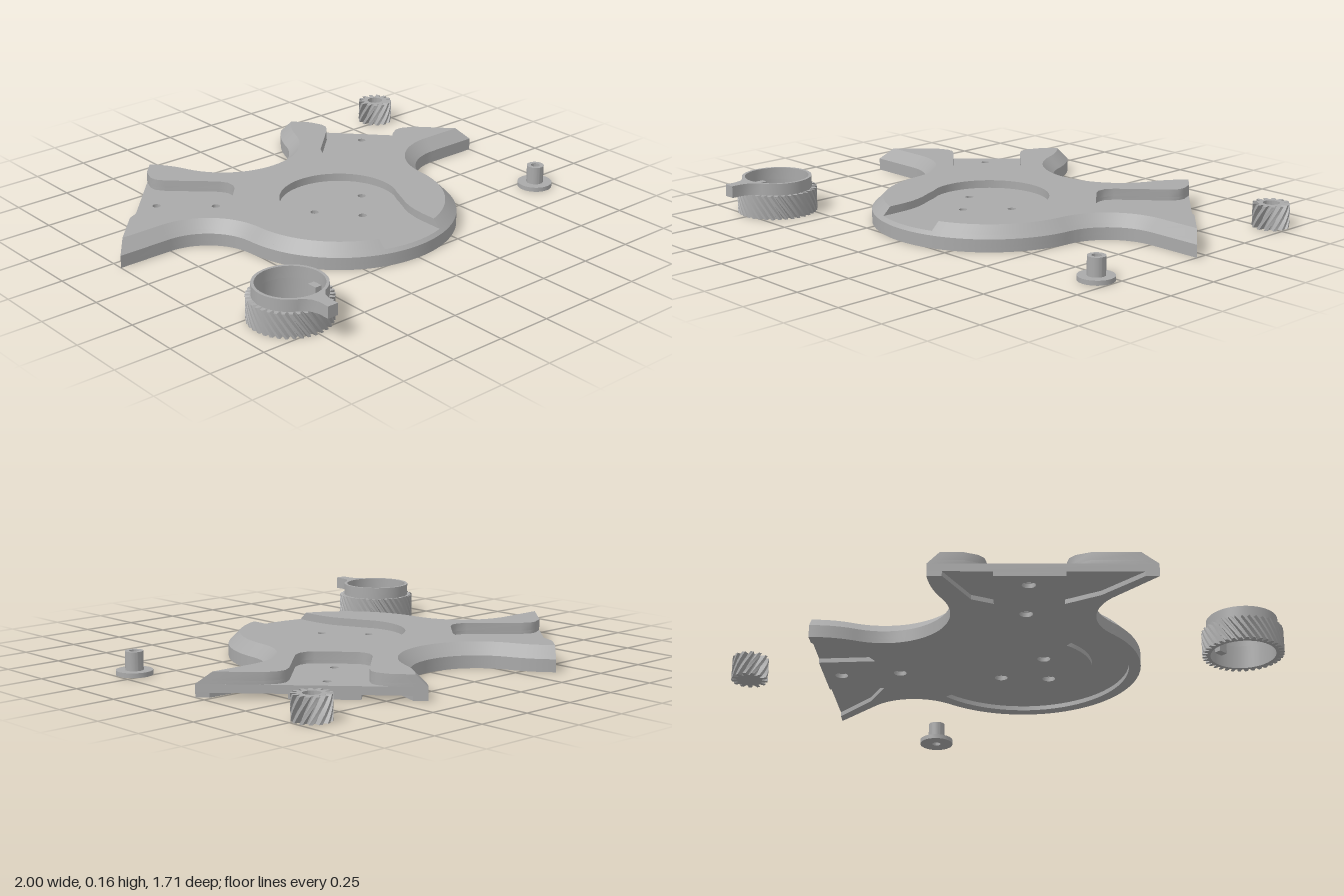
import * as THREE from 'three';
import { toCreasedNormals } from 'three/addons/utils/BufferGeometryUtils.js';

const grey = new THREE.MeshStandardMaterial({ color: 0xaaaaaa });
grey.name = 'grey';

// Points are [x, z]; outlines run counterclockwise and holes clockwise, seen from above.
function arc(cx, cz, r, a0, a1, n = 24) {
  return Array.from({ length: n + 1 }, (_, i) => {
    const a = a0 + (a1 - a0) * i / n;
    return [cx + r * Math.cos(a), cz + r * Math.sin(a)];
  });
}
const circle = (x, z, r, n = 24) => arc(x, z, r, 0, 2 * Math.PI, n).slice(0, n);

// Solid through a stack of equal-count outlines [[y, points], ...] with straight holes.
function stack(levels, holes = []) {
  const pos = [];
  const put = (p, y) => pos.push(p[0], y, p[1]);
  const wall = (a, ya, b, yb) => a.forEach((p, i) => {
    const j = (i + 1) % a.length;
    put(p, ya); put(a[j], ya); put(b[j], yb);
    put(p, ya); put(b[j], yb); put(b[i], yb);
  });
  const cap = (pts, y, up) => {
    const v = list => list.map(p => new THREE.Vector2(p[0], -p[1]));
    const all = [pts, ...holes].flat();
    for (const [a, b, c] of THREE.ShapeUtils.triangulateShape(v(pts), holes.map(v))) {
      const [A, B, C] = [all[a], all[b], all[c]];
      const ccw = (B[0] - A[0]) * (A[1] - C[1]) - (A[1] - B[1]) * (C[0] - A[0]) > 0;
      for (const p of ccw === up ? [A, B, C] : [A, C, B]) put(p, y);
    }
  };
  for (let i = 0; i + 1 < levels.length; i++) wall(levels[i][1], levels[i][0], levels[i + 1][1], levels[i + 1][0]);
  const first = levels[0], last = levels[levels.length - 1];
  holes.forEach(h => wall(h, first[0], h, last[0]));
  cap(first[1], first[0], false);
  cap(last[1], last[0], true);
  const g = new THREE.BufferGeometry();
  g.setAttribute('position', new THREE.Float32BufferAttribute(pos, 3));
  return toCreasedNormals(g, 0.6);
}

function add(parent, name, geometry) {
  const mesh = new THREE.Mesh(geometry, grey);
  mesh.name = name;
  parent.add(mesh);
  return mesh;
}

// ---- Base plate ----
const EDGE = 0.864; // distance of the slanted arm ends along the arm direction
const armPoint = ([u, v]) => [0.731 * u - 0.682 * v, -0.682 * u - 0.731 * v];

// Arm pocket: rounded slot flaring out at the arm end
const pocketSide = [[EDGE, 0.25], [0.84, 0.19], [0.815, 0.167], [0.77, 0.158],
  [0.53, 0.158], [0.487, 0.145], [0.462, 0.118], [0.453, 0.085]];
const armPocket = [
  ...pocketSide.map(([u, w]) => [u, -0.022 - w]),
  ...pocketSide.map(([u, w]) => [u, -0.022 + w]).reverse(),
].map(armPoint);

// Shallow recesses beneath the thick corners of each arm
const armRecess = [[EDGE, -0.484], [0.7, -0.32], [0.62, -0.176], [EDGE, -0.176],
  [EDGE, 0.11], [0.62, 0.11], [0.66, 0.2], [EDGE, 0.31]].map(armPoint);

// Round pocket with a throat leading to the front rim
const discPocket = [
  ...arc(0, 0.015, 0.26, -Math.PI / 2, 0.33, 28),
  [0.225, 0.14], [0.205, 0.19], [0.184, 0.235], [0.168, 0.28], [0.158, 0.33], [0.155, 0.38],
];

function plateOutline(inset, armCut, withDisc) {
  const R = 0.51 - inset, tangent = Math.atan2(0.035, 0.755);
  const cornerZ = -0.195 - inset;
  const horn = [0.727, -0.521], hornR = 0.485 - inset;
  const tip = armPoint([EDGE, -0.115 + Math.sqrt(hornR ** 2 - 0.0005)]);
  const notch = Math.atan2(0.269, 0.727);
  const half = [
    ...(withDisc ? discPocket : []),
    ...arc(0, 0.015, R, withDisc ? Math.acos(0.155 / R) : Math.PI / 2, tangent, 32),
    ...arc(0.755, 0.05, 0.245 + inset, Math.PI + tangent, 1.5 * Math.PI).slice(1),
    [(EDGE + 0.682 * cornerZ) / 0.731, cornerZ],
    ...armCut,
    ...arc(...horn, hornR, Math.atan2(tip[1] - horn[1], tip[0] - horn[0]), notch - Math.PI, 12),
    ...arc(0, -0.79, 0.29 + inset, notch, Math.PI / 2).slice(1),
  ];
  return [...half, ...half.slice(1, -1).reverse().map(([x, z]) => [-x, z])];
}

function makePlate() {
  const plate = new THREE.Group();
  plate.name = 'basePlate';
  const discSpots = [[-0.135, 0.01], [0.135, 0.01], [0, 0.17]];
  const armSpots = [[0.4, -0.345], [0.595, -0.515], [-0.4, -0.345], [-0.595, -0.515]];
  const bores = (spots, r) => spots.map(([x, z]) => circle(x, z, r, 16));
  const all = [...discSpots, ...armSpots];
  const crescent = [...arc(0, 0.015, 0.46, -0.1, Math.PI + 0.1, 40), ...arc(0, 0.015, 0.3, Math.PI + 0.1, -0.1, 40)];

  const foot = plateOutline(0, armRecess, false);
  add(plate, 'plateUnderside', stack([[0, foot], [0.02, foot]], [crescent, ...bores(all, 0.028)]));
  const body = plateOutline(0, [], false);
  add(plate, 'plateBody', stack([[0.02, body], [0.055, body]], bores(all, 0.018)));
  add(plate, 'lowerChamfer', stack([
    [0.055, plateOutline(0, armPocket, false)],
    [0.07, plateOutline(0.015, armPocket, false)],
  ], bores(discSpots, 0.018)));
  add(plate, 'upperChamfer', stack([
    [0.07, plateOutline(0.015, armPocket, true)],
    [0.105, plateOutline(0.05, armPocket, true)],
  ]));
  return plate;
}

// ---- Gears ----
function helicalGear(teeth, root, tip, twist, bore) {
  const ring = turn => {
    const pts = [], step = 2 * Math.PI / teeth;
    for (let i = 0; i < teeth; i++) {
      for (const [f, r] of [[0, root], [0.22, root], [0.42, tip], [0.8, tip]]) {
        const a = -(i + f) * step + turn;
        pts.push([r * Math.cos(a), r * Math.sin(a)]);
      }
    }
    return pts;
  };
  const levels = Array.from({ length: 7 }, (_, i) => [0.105 * i / 6, ring(twist * i / 6)]);
  return stack(levels, [circle(0, 0, bore, 48)]);
}

function makeRingGear() {
  const gear = new THREE.Group();
  gear.name = 'ringGear';
  gear.position.set(-0.75, 0, 0.6);
  add(gear, 'ringTeeth', helicalGear(36, 0.154, 0.175, 0.42, 0.14));

  // Collar with a pointer handle toward the front
  const a = Math.atan2(0.14, 0.06);
  const collar = [
    [-0.024, 0.255], [0.024, 0.255], [0.024, 0.205], [0.034, 0.17],
    ...arc(0, 0, 0.153, a, -Math.PI - a, 56),
    [-0.034, 0.17], [-0.024, 0.205],
  ];
  add(gear, 'collarHandle', stack([[0.105, collar], [0.157, collar]], [circle(0, 0, 0.14, 48)]));

  // Two inner catches
  for (const side of [-1, 1]) {
    add(gear, 'innerCatch', new THREE.BoxGeometry(0.035, 0.055, 0.045)).position.set(side * 0.126, 0.077, 0);
  }
  return gear;
}

function makePinion() {
  const pinion = new THREE.Group();
  pinion.name = 'pinion';
  pinion.position.set(0.915, 0, -0.78);
  add(pinion, 'pinionTeeth', helicalGear(13, 0.056, 0.08, -0.85, 0.036));
  add(pinion, 'boreFloor', new THREE.CylinderGeometry(0.036, 0.036, 0.03, 48)).position.y = 0.015;
  return pinion;
}

export function createModel() {
  const model = new THREE.Group();
  model.name = 'gearPlateKit';
  model.add(makePlate(), makeRingGear(), makePinion());

  // Flanged bushing
  const profile = [[0.02, 0], [0.077, 0], [0.077, 0.02], [0.038, 0.02], [0.038, 0.1], [0.02, 0.1], [0.02, 0]]
    .map(([r, y]) => new THREE.Vector2(r, y));
  add(model, 'bushing', toCreasedNormals(new THREE.LatheGeometry(profile, 40), 0.6)).position.set(0.92, 0, 0.31);
  return model;
}
